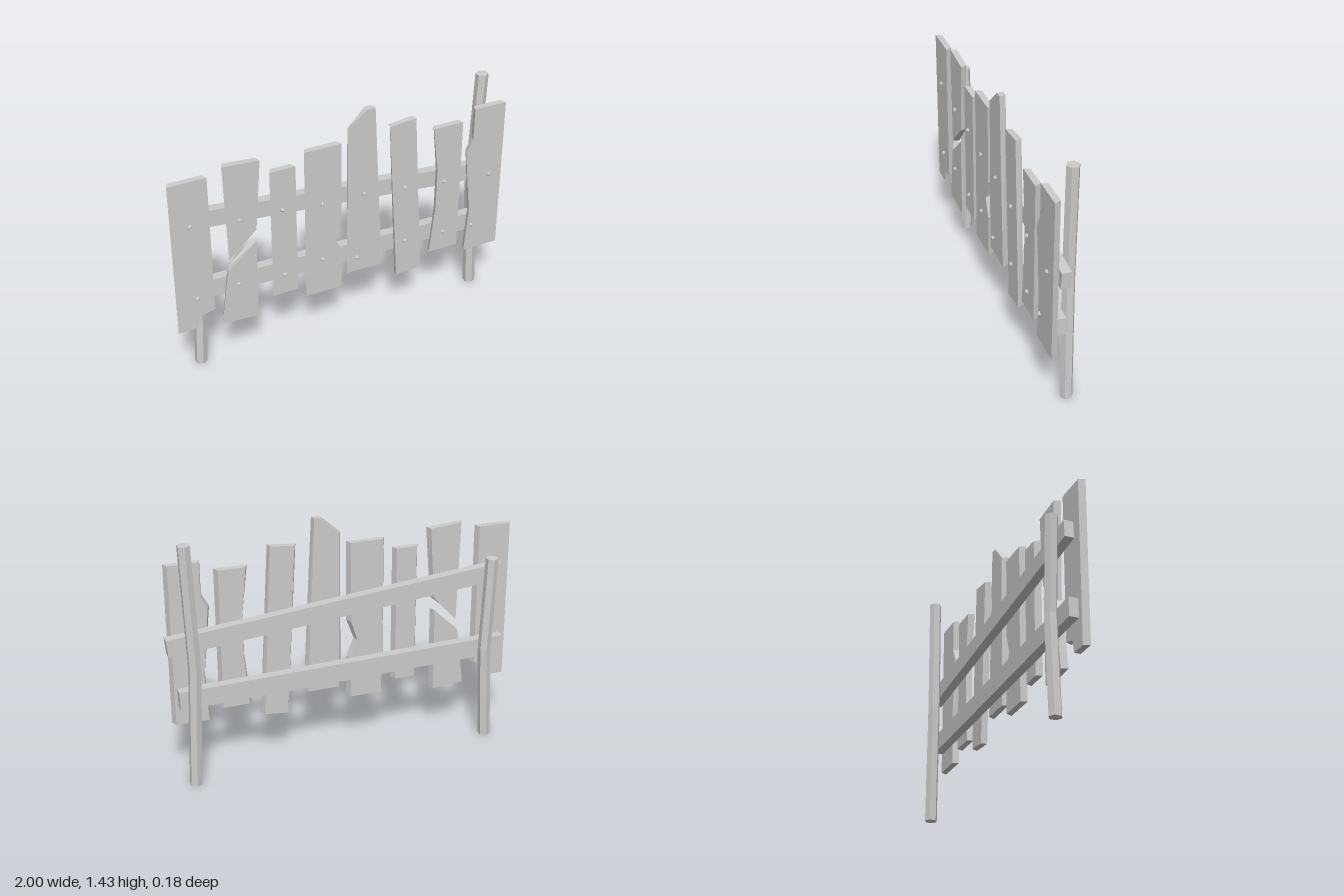
import * as THREE from 'three';

const material = new THREE.MeshStandardMaterial({ color: 0xcccccc, flatShading: true });
const PLANK_BACK = 0.04, PLANK_FRONT = 0.075;

// Plank outlines, [x, y]
const PLANKS = [
  [[-1, 1.265], [-1, 0.334], [-0.888, 0.334], [-0.868, 0.408], [-0.785, 0.428], [-0.785, 1.265]],
  [[-0.705, 1.303], [-0.69, 0.72], [-0.528, 0.87], [-0.495, 1.288]],
  [[-0.7, 0.647], [-0.748, 0.315], [-0.535, 0.3], [-0.53, 0.797]],
  [[-0.445, 1.198], [-0.445, 0.402], [-0.297, 0.402], [-0.297, 1.198]],
  [[-0.248, 1.265], [-0.248, 0.334], [-0.032, 0.334], [-0.032, 0.578], [-0.075, 0.685], [-0.032, 0.8], [-0.032, 1.265]],
  [[0.003, 1.326], [0.003, 0.41], [0.219, 0.41], [0.166, 1.43], [0.12, 1.43]],
  [[0.254, 1.289], [0.316, 0.297], [0.471, 0.31], [0.412, 1.305]],
  [[0.524, 1.206], [0.557, 0.93], [0.555, 0.68], [0.524, 0.393], [0.706, 0.393], [0.706, 1.206]],
  [[0.778, 1.265], [0.778, 1.075], [0.737, 1.0], [0.778, 0.6], [0.757, 0.334], [0.973, 0.334], [0.973, 1.265]],
];

// Nail positions, [x, y]
const NAILS = [
  [-0.893, 0.997], [-0.623, 0.957], [-0.377, 0.952], [-0.147, 0.92],
  [0.104, 0.914], [0.356, 0.882], [0.602, 0.853], [0.893, 0.824],
  [-0.882, 0.532], [-0.644, 0.551], [-0.374, 0.527], [-0.144, 0.556],
  [0.061, 0.503], [0.364, 0.524], [0.61, 0.511], [0.797, 0.5],
];

function addMesh(parent, name, geometry) {
  const mesh = new THREE.Mesh(geometry, material);
  mesh.name = name;
  parent.add(mesh);
  return mesh;
}

// Extruded board whose side edges slope in towards the back
function plankGeometry(outline) {
  const shape = new THREE.Shape(outline.map(([x, y]) => new THREE.Vector2(x, y)));
  const geometry = new THREE.ExtrudeGeometry(shape, { depth: PLANK_FRONT - PLANK_BACK, bevelEnabled: false });
  geometry.translate(0, 0, PLANK_BACK);
  const xs = outline.map((p) => p[0]);
  const min = Math.min(...xs), max = Math.max(...xs);
  const middle = (min + max) / 2;
  const taper = 1 - 0.032 / (max - min);
  const pos = geometry.attributes.position;
  for (let i = 0; i < pos.count; i++) {
    if (pos.getZ(i) < PLANK_BACK + 0.001) pos.setX(i, middle + (pos.getX(i) - middle) * taper);
  }
  geometry.computeVertexNormals();
  return geometry;
}

// Six-sided post with a slight kink at mid height
function postGeometry(height, bend) {
  const geometry = new THREE.CylinderGeometry(0.036, 0.036, height, 6, 2);
  geometry.translate(0, height / 2, 0);
  const pos = geometry.attributes.position;
  for (let i = 0; i < pos.count; i++) {
    if (Math.abs(pos.getY(i) - height / 2) < 0.01) {
      pos.setX(i, pos.getX(i) + bend);
      pos.setZ(i, pos.getZ(i) - 0.004);
    }
  }
  geometry.computeVertexNormals();
  return geometry;
}

// Sloping rail between two end points
function addRail(parent, name, x0, y0, x1, y1, height) {
  const rail = addMesh(parent, name, new THREE.BoxGeometry(Math.hypot(x1 - x0, y1 - y0), height, 0.053));
  rail.position.set((x0 + x1) / 2, (y0 + y1) / 2, 0.0135);
  rail.rotation.z = Math.atan2(y1 - y0, x1 - x0);
}

export function createModel() {
  const fence = new THREE.Group();
  fence.name = 'fence';

  // Posts
  addMesh(fence, 'rightPost', postGeometry(1.105, 0.025)).position.set(-0.845, 0, -0.047);
  addMesh(fence, 'leftPost', postGeometry(1.405, -0.025)).position.set(0.884, 0, -0.047);

  // Rails
  addRail(fence, 'upperRail', -0.92, 1.003, 0.992, 0.82, 0.1);
  addRail(fence, 'lowerRail', -0.95, 0.548, 0.94, 0.5, 0.108);

  // Planks
  const planks = new THREE.Group();
  planks.name = 'planks';
  PLANKS.forEach((outline, i) => addMesh(planks, `plank${i + 1}`, plankGeometry(outline)));
  fence.add(planks);

  // Nail heads
  const nails = new THREE.Group();
  nails.name = 'nails';
  const nailGeometry = new THREE.IcosahedronGeometry(0.014, 0);
  NAILS.forEach(([x, y], i) => {
    const nail = addMesh(nails, `nail${i + 1}`, nailGeometry);
    nail.position.set(x, y, 0.077);
    nail.rotation.z = i * 0.7;
  });
  fence.add(nails);

  return fence;
}
